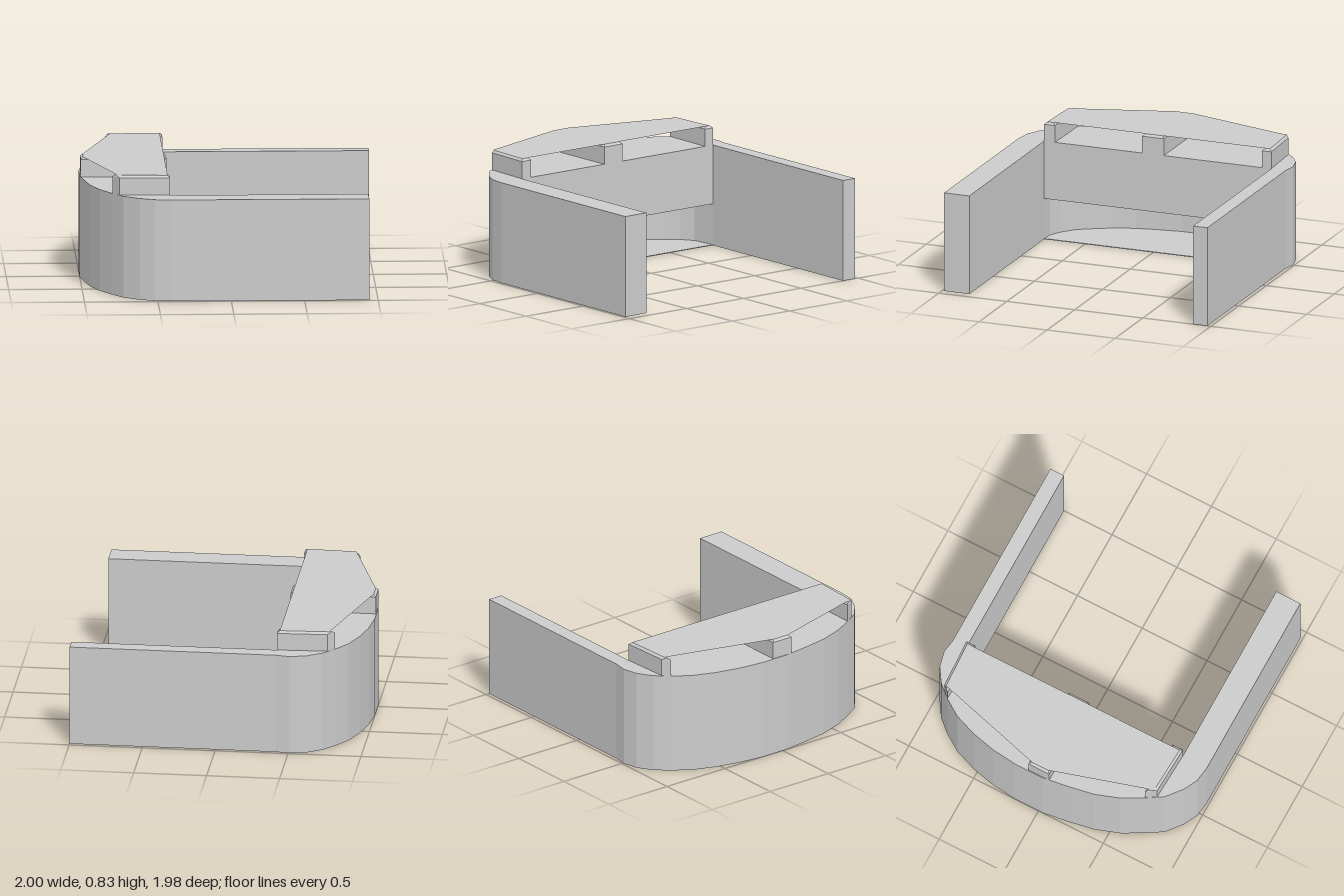
import * as THREE from 'three';
import { ConvexGeometry } from 'three/addons/geometries/ConvexGeometry.js';

const material = new THREE.MeshStandardMaterial({ color: 0xcccccc, flatShading: true, side: THREE.DoubleSide });

// Rounded end of the body as [x, z], running from the back arm to the front arm
const outer = [
  [-0.41, -0.975], [-0.51, -0.99], [-0.62, -0.965], [-0.72, -0.9], [-0.8, -0.81], [-0.88, -0.69],
  [-0.94, -0.53], [-0.98, -0.36], [-1, -0.18], [-1, 0.03], [-0.975, 0.21], [-0.94, 0.4],
  [-0.88, 0.57], [-0.81, 0.7], [-0.73, 0.83], [-0.62, 0.92], [-0.52, 0.97], [-0.41, 0.985],
];
const EDGE = -0.41, FRONT = 0.8, BACK = -0.87;
const CAVITY_TOP = 0.29, BODY_TOP = 0.7, SHOULDER = 0.82, TOP = 0.835;

// Inner wall of the cavity: the outer curve drawn inwards
const middle = outer.slice(1, -1).map(([x, z]) => [EDGE + (x - EDGE) * 0.85, -0.035 + (z + 0.005) * 0.85]);
const inner = [[EDGE, BACK], ...middle.filter(([, z]) => z > BACK && z < FRONT), [EDGE, FRONT]];

const toShape = (points) => new THREE.Shape(points.map(([x, z]) => new THREE.Vector2(x, -z)));

function add(group, name, geometry) {
  const mesh = new THREE.Mesh(geometry, material);
  mesh.name = name;
  group.add(mesh);
  return mesh;
}

// Upright slab with the given plan between two heights
function slab(points, y0, y1) {
  const g = new THREE.ExtrudeGeometry(toShape(points), { depth: y1 - y0, bevelEnabled: false });
  return g.rotateX(-Math.PI / 2).translate(0, y0, 0);
}

// Four-sided top outline of a rib, drawn in from its footprint
function inset(quad, d = 0.017) {
  const cx = quad.reduce((s, p) => s + p[0], 0) / 4;
  const cz = quad.reduce((s, p) => s + p[1], 0) / 4;
  return quad.map(([x, z]) => [x - Math.sign(x - cx) * d, z - Math.sign(z - cz) * d]);
}

// Rib with chamfered top edges
function rib(quad) {
  const level = (points, y) => points.map(([x, z]) => new THREE.Vector3(x, y, z));
  return new ConvexGeometry([...level(quad, BODY_TOP), ...level(quad, SHOULDER), ...level(inset(quad), TOP)]);
}

export function createModel() {
  const model = new THREE.Group();
  model.name = 'bracket';

  // U-shaped body: hollow below, solid above between the arms
  const armFront = [[0.94, 0.985], [0.94, FRONT]];
  const armBack = [[1, BACK], [1, -0.975]];
  add(model, 'lowerBody', slab([...outer, ...armFront, ...[...inner].reverse(), ...armBack], 0, CAVITY_TOP));
  add(model, 'upperBody',
    slab([...outer, ...armFront, [EDGE, FRONT], [EDGE, BACK], ...armBack], CAVITY_TOP, BODY_TOP));

  // Thin floor under the cavity
  add(model, 'cavityFloor', slab(inner, 0, 0.005));

  // Three ribs on top
  const ribs = {
    frontRib: [[EDGE, 0.8], [-0.755, 0.785], [-0.8, 0.715], [EDGE, 0.72]],
    middleRib: [[EDGE, 0.08], [-0.995, 0.08], [-0.995, -0.08], [EDGE, -0.08]],
    backRib: [[EDGE, -0.8], [-0.8, -0.81], [-0.755, -0.855], [EDGE, -0.87]],
  };
  for (const [name, quad] of Object.entries(ribs)) add(model, name, rib(quad));

  // Thin cover sheet resting on the ribs
  const sheet = [[-0.427, 0.783], [-0.765, 0.768], [-0.978, 0.063], [-0.978, -0.063], [-0.765, -0.838], [-0.427, -0.853]];
  const cover = new THREE.ShapeGeometry(toShape(sheet)).rotateX(-Math.PI / 2).translate(0, TOP, 0);
  add(model, 'coverSheet', cover);

  return model;
}
